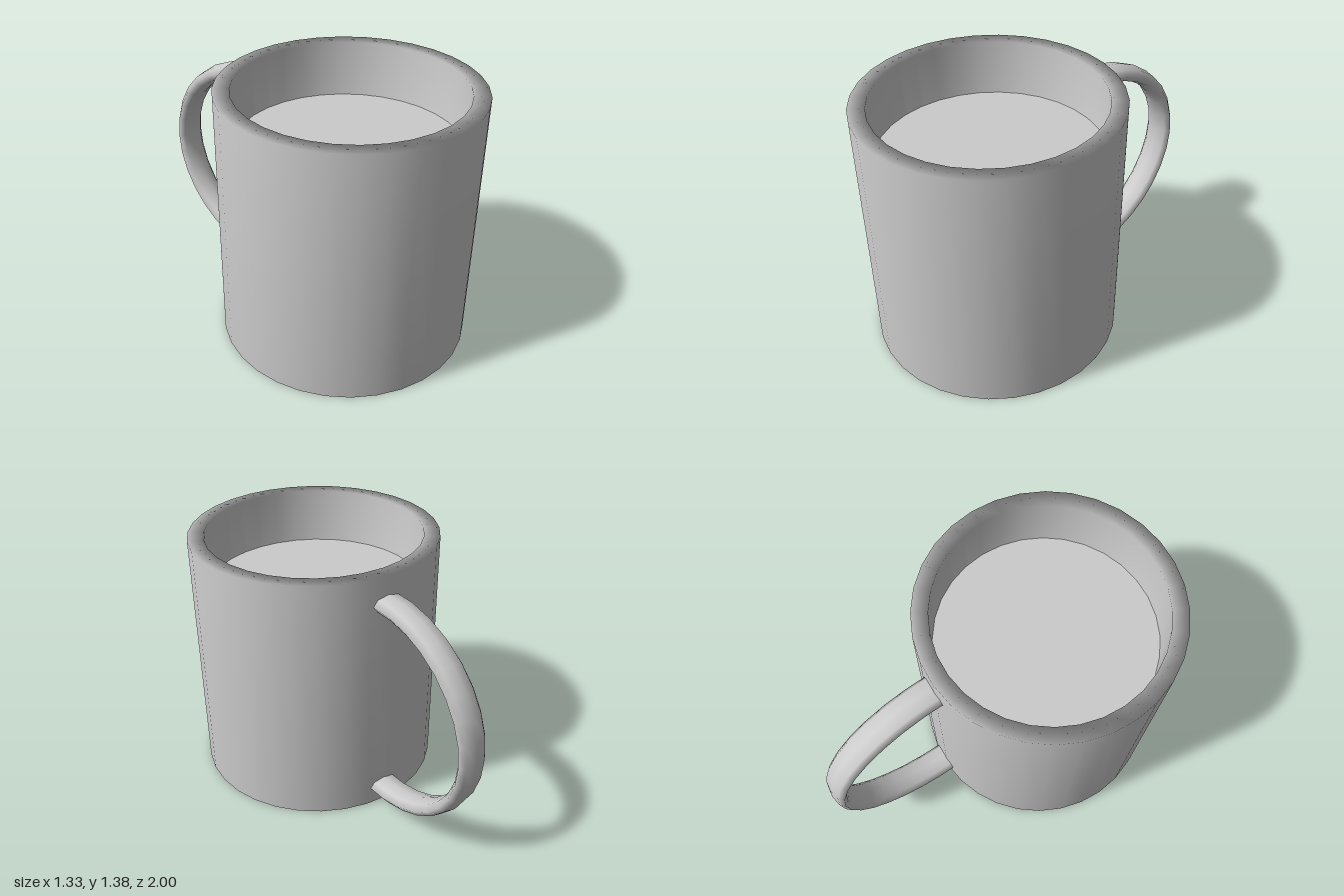
import * as THREE from 'three';
import { ParametricGeometry } from 'three/addons/geometries/ParametricGeometry.js';

const SEGMENTS = 32;
const HEIGHT = 1.375, OUTER = 0.665, INNER = 0.58, FILL = 1.07;
const BODY_Z = 0.335;

export function createModel() {
  const group = new THREE.Group();
  group.name = 'mug';
  const material = new THREE.MeshStandardMaterial({ color: 0xcccccc });

  const add = (name, geometry, z = 0) => {
    const mesh = new THREE.Mesh(geometry, material);
    mesh.name = name;
    mesh.position.z = z;
    group.add(mesh);
    return mesh;
  };

  // Body: base, outer wall, flat rim, inner wall and inner floor in one profile
  const profile = [
    [0, 0], [0.64, 0], [OUTER, 0], [OUTER, HEIGHT],
    [INNER, HEIGHT], [INNER, 0.1], [0, 0.1],
  ].map(([r, y]) => new THREE.Vector2(r, y));
  add('body', new THREE.LatheGeometry(profile, SEGMENTS), BODY_Z);

  // Flat surface of the drink inside
  const surface = new THREE.CircleGeometry(INNER, SEGMENTS);
  surface.rotateX(-Math.PI / 2).rotateY(-Math.PI / 2);
  add('drinkSurface', surface, BODY_Z).position.y = FILL;

  // Handle: half ellipse with an oval section, thicker where it enters the wall
  const handlePoint = (u, v, target) => {
    const a = (v - 0.5) * Math.PI * 1.04;
    const phi = u * Math.PI * 2;
    const thickness = 0.034 + 0.013 * Math.abs(Math.sin(a));
    const offset = thickness * Math.cos(phi);
    target.set(
      0.025 - 0.085 * Math.sin(phi),
      0.663 + (0.565 + offset) * Math.sin(a),
      -0.335 - (0.631 + offset) * Math.cos(a),
    );
  };
  add('handle', new ParametricGeometry(handlePoint, 8, 16));

  return group;
}
